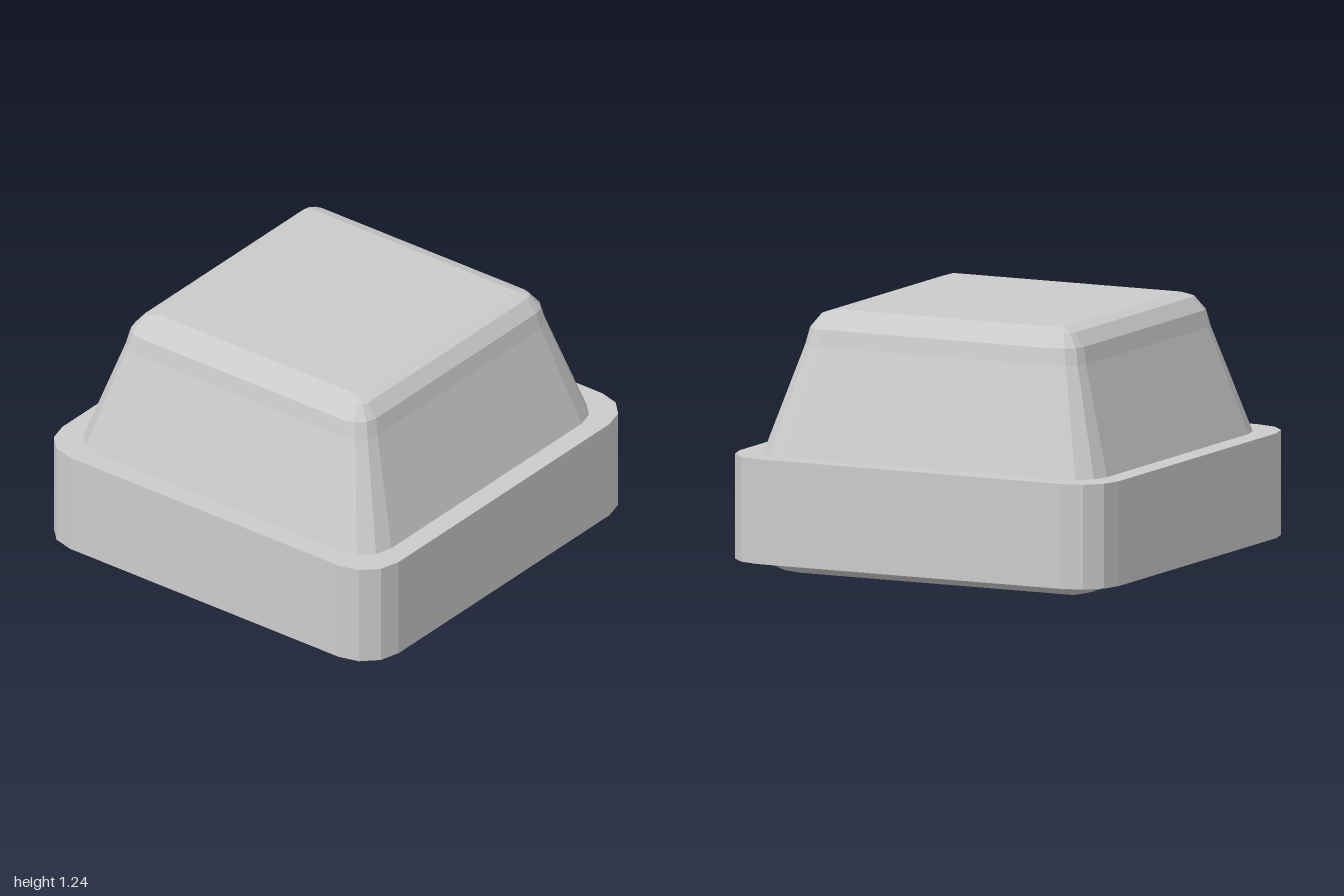
import * as THREE from 'three';

const material = new THREE.MeshStandardMaterial({ color: 0xcccccc, flatShading: true });
const SEGMENTS = 3; // facets per rounded corner

// Rounded-square outline of half width h and corner radius r at height y
function ring([y, h, r]) {
  const points = [];
  for (let corner = 0; corner < 4; corner++) {
    const mid = (corner + 0.5) * Math.PI / 2;
    const cx = Math.sign(Math.cos(mid)) * (h - r);
    const cz = Math.sign(Math.sin(mid)) * (h - r);
    for (let i = 0; i <= SEGMENTS; i++) {
      const a = (corner + i / SEGMENTS) * Math.PI / 2;
      points.push([cx + r * Math.cos(a), y, cz + r * Math.sin(a)]);
    }
  }
  return points;
}

// Capped solid through a stack of rings, listed from bottom to top
function loft(name, sections) {
  const rings = sections.map(ring);
  const n = rings[0].length;
  const positions = rings.flat(2);
  const index = [];
  for (let k = 0; k < rings.length - 1; k++) {
    for (let i = 0; i < n; i++) {
      const a = k * n + i, b = k * n + (i + 1) % n;
      index.push(a, a + n, b, b, a + n, b + n);
    }
  }
  const top = (rings.length - 1) * n;
  const bottomCentre = positions.length / 3;
  positions.push(0, sections[0][0], 0, 0, sections.at(-1)[0], 0);
  for (let i = 0; i < n; i++) {
    const j = (i + 1) % n;
    index.push(bottomCentre, i, j, bottomCentre + 1, top + j, top + i);
  }
  const indexed = new THREE.BufferGeometry();
  indexed.setAttribute('position', new THREE.Float32BufferAttribute(positions, 3));
  indexed.setIndex(index);
  const geometry = indexed.toNonIndexed();
  geometry.computeVertexNormals();
  const mesh = new THREE.Mesh(geometry, material);
  mesh.name = name;
  return mesh;
}

export function createModel() {
  const model = new THREE.Group();
  model.name = 'squareButton';

  // Each section is [height, half width, corner radius]
  model.add(
    // Wide collar
    loft('collar', [[0.075, 1, 0.2], [0.572, 1, 0.2]]),
    // Tapered cap with a rounded top edge
    loft('cap', [
      [0.5, 0.895, 0.175], [0.572, 0.895, 0.175], [1.08, 0.733, 0.113],
      [1.16, 0.715, 0.108], [1.223, 0.663, 0.06], [1.243, 0.6, 0],
    ]),
    // Shallow underside with a rounded edge
    loft('underside', [
      [0, 0.72, 0], [0.02, 0.808, 0.088], [0.05, 0.872, 0.152],
      [0.075, 0.895, 0.175], [0.12, 0.895, 0.175],
    ]),
  );
  return model;
}
